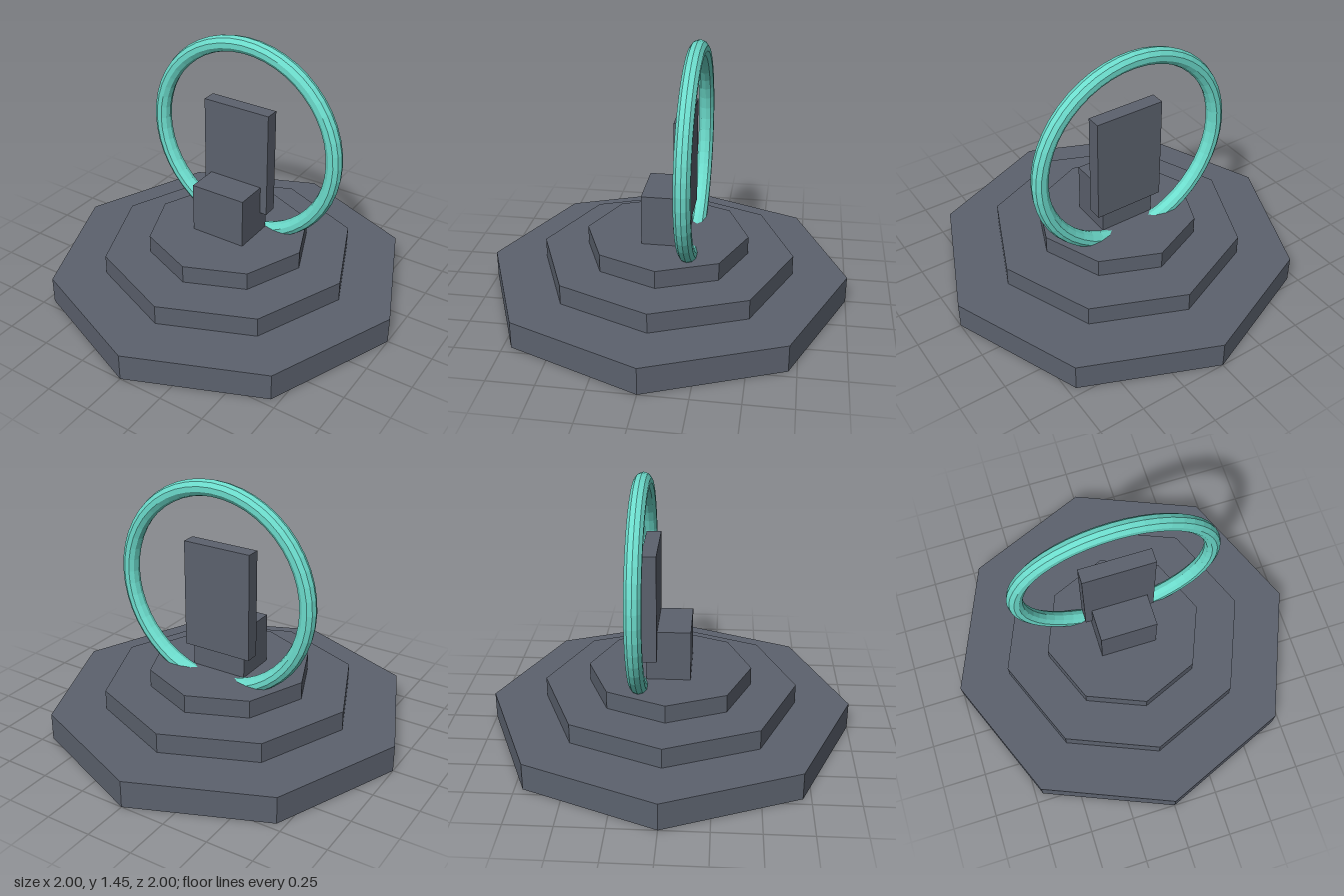
import * as THREE from 'three';

export function createModel() {
  const model = new THREE.Group();
  model.name = 'ringThrone';

  const stone = new THREE.MeshStandardMaterial({ color: 0x5c626e, flatShading: true });
  stone.name = 'slate stone';
  const glow = new THREE.MeshStandardMaterial({ color: 0x6cdccc, flatShading: true });
  glow.name = 'turquoise';

  const add = (name, geometry, material, x, y, z) => {
    const mesh = new THREE.Mesh(geometry, material);
    mesh.name = name;
    mesh.position.set(x, y, z);
    model.add(mesh);
  };

  // Stepped octagonal dais: radius, bottom, top
  const tiers = [
    ['lowerStep', 1, 0, 0.15],
    ['middleStep', 0.7, 0.15, 0.26],
    ['upperStep', 0.45, 0.26, 0.36],
  ];
  for (const [name, radius, bottom, top] of tiers) {
    add(name, new THREE.CylinderGeometry(radius, radius, top - bottom, 8), stone, 0, (bottom + top) / 2, 0);
  }

  // Seat block and the backrest slab set into its rear
  add('seat', new THREE.BoxGeometry(0.32, 0.28, 0.24), stone, 0, 0.5, 0);
  add('backrest', new THREE.BoxGeometry(0.4, 0.6, 0.08), stone, 0, 0.78, -0.1);

  // Upright ring sunk into the dais
  add('ring', new THREE.TorusGeometry(0.55, 0.045, 10, 48), glow, 0, 0.85, -0.15);

  return model;
}
